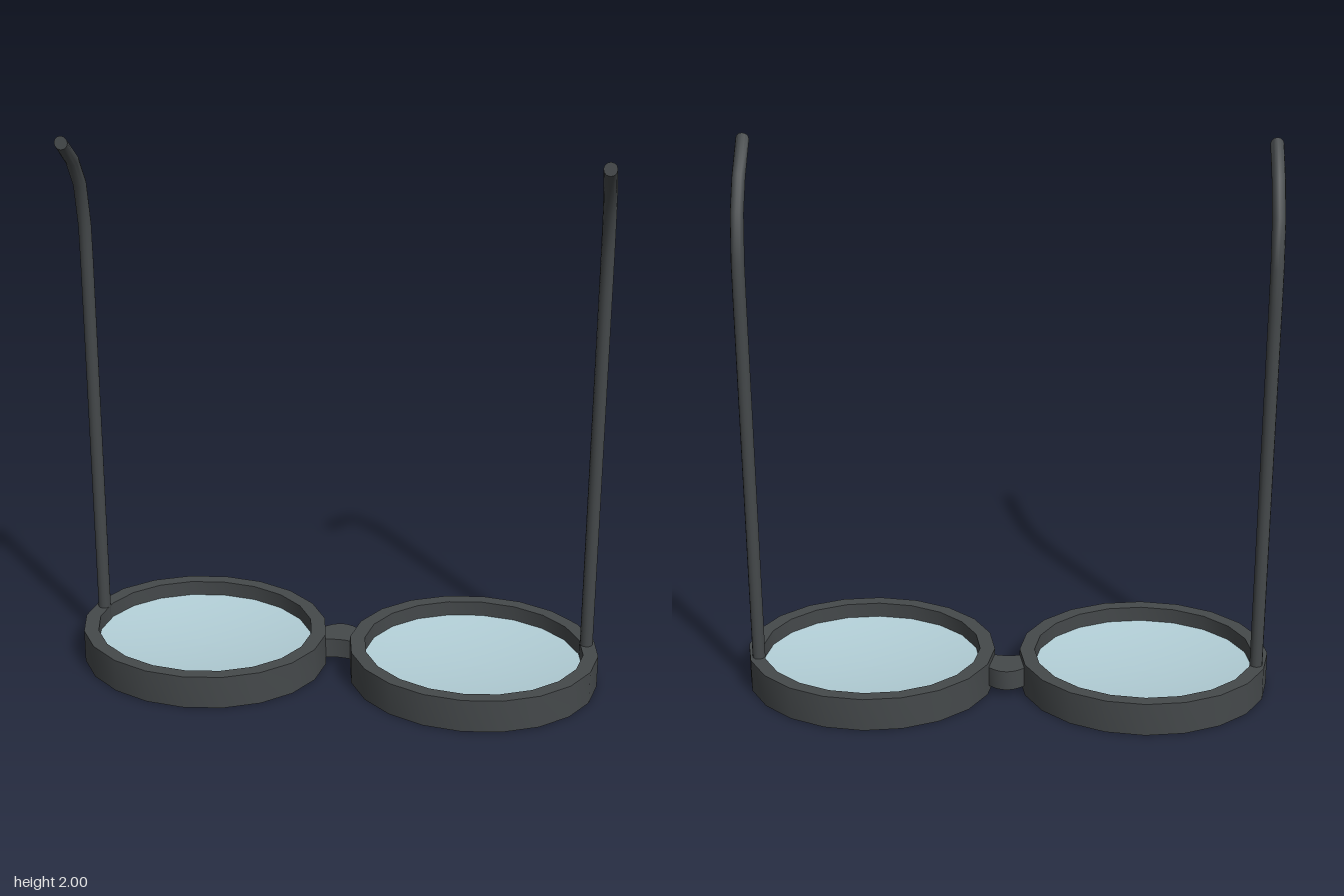
import * as THREE from 'three';
import { toCreasedNormals } from 'three/addons/utils/BufferGeometryUtils.js';

const frameMat = new THREE.MeshStandardMaterial({ color: 0x45494b });
const lensMat = new THREE.MeshStandardMaterial({ color: 0xb2ced6, side: THREE.DoubleSide });

const RX = 0.447, RZ = 0.37, CX = 0.492, H = 0.125, INNER = 0.88, SIDES = 20;

// Oval rim: rectangular section turned around y, then stretched
function rimGeometry() {
  const profile = [[INNER, 0], [1, 0], [1, H], [INNER, H], [INNER, 0]]
    .map(([r, y]) => new THREE.Vector2(r, y));
  const g = new THREE.LatheGeometry(profile, SIDES);
  g.scale(RX, 1, RZ);
  return toCreasedNormals(g, 0.6);
}

// Shallow lens, bulging towards the face of the frame (downwards)
function lensGeometry() {
  const profile = [];
  for (let i = 0; i <= 6; i++) {
    const t = i / 6;
    profile.push(new THREE.Vector2(t * (INNER + 0.02), 0.04 + 0.03 * t * t));
  }
  const g = new THREE.LatheGeometry(profile, SIDES);
  g.scale(RX, 1, RZ);
  return g;
}

// Temple arm: a cylinder whose rings follow y, z and tilt along a hooked path
function templeGeometry() {
  const rings = [
    [0.03, -0.082, 0], [1.48, -0.082, 0], [1.62, -0.078, 0.12],
    [1.78, -0.043, 0.42], [1.885, 0.033, 0.78], [1.979, 0.151, 1.4],
  ];
  const n = rings.length - 1, r = 0.023;
  const g = new THREE.CylinderGeometry(r, r, 1, 12, n);
  const p = g.attributes.position;
  for (let i = 0; i < p.count; i++) {
    const [y, z, tilt] = rings[Math.round((p.getY(i) + 0.5) * n)];
    const d = p.getZ(i);
    p.setXYZ(i, p.getX(i), y - d * Math.sin(tilt), z + d * Math.cos(tilt));
  }
  return toCreasedNormals(g, 0.7);
}

// Arched bridge, drawn in plan and extruded upwards
function bridgeGeometry() {
  const s = new THREE.Shape();
  s.moveTo(-0.075, -0.005);
  s.quadraticCurveTo(0, 0.025, 0.075, -0.005);
  s.lineTo(0.075, 0.08);
  s.lineTo(0.06, 0.1);
  s.quadraticCurveTo(0, 0.152, -0.06, 0.1);
  s.lineTo(-0.075, 0.08);
  const g = new THREE.ExtrudeGeometry(s, { depth: 0.075, bevelEnabled: false, curveSegments: 6 });
  g.rotateX(-Math.PI / 2);
  g.translate(0, 0.027, 0);
  return toCreasedNormals(g, 0.5);
}

export function createModel() {
  const model = new THREE.Group();
  model.name = 'eyeglasses';
  const add = (name, geometry, material, x = 0) => {
    const mesh = new THREE.Mesh(geometry, material);
    mesh.name = name;
    mesh.position.x = x;
    model.add(mesh);
  };

  const rim = rimGeometry(), lens = lensGeometry(), temple = templeGeometry();
  for (const [side, s] of [['left', 1], ['right', -1]]) {
    add(side + 'Rim', rim, frameMat, s * CX);
    add(side + 'Lens', lens, lensMat, s * CX);
    add(side + 'Temple', temple, frameMat, s * 0.892);
  }
  add('bridge', bridgeGeometry(), frameMat);
  return model;
}
